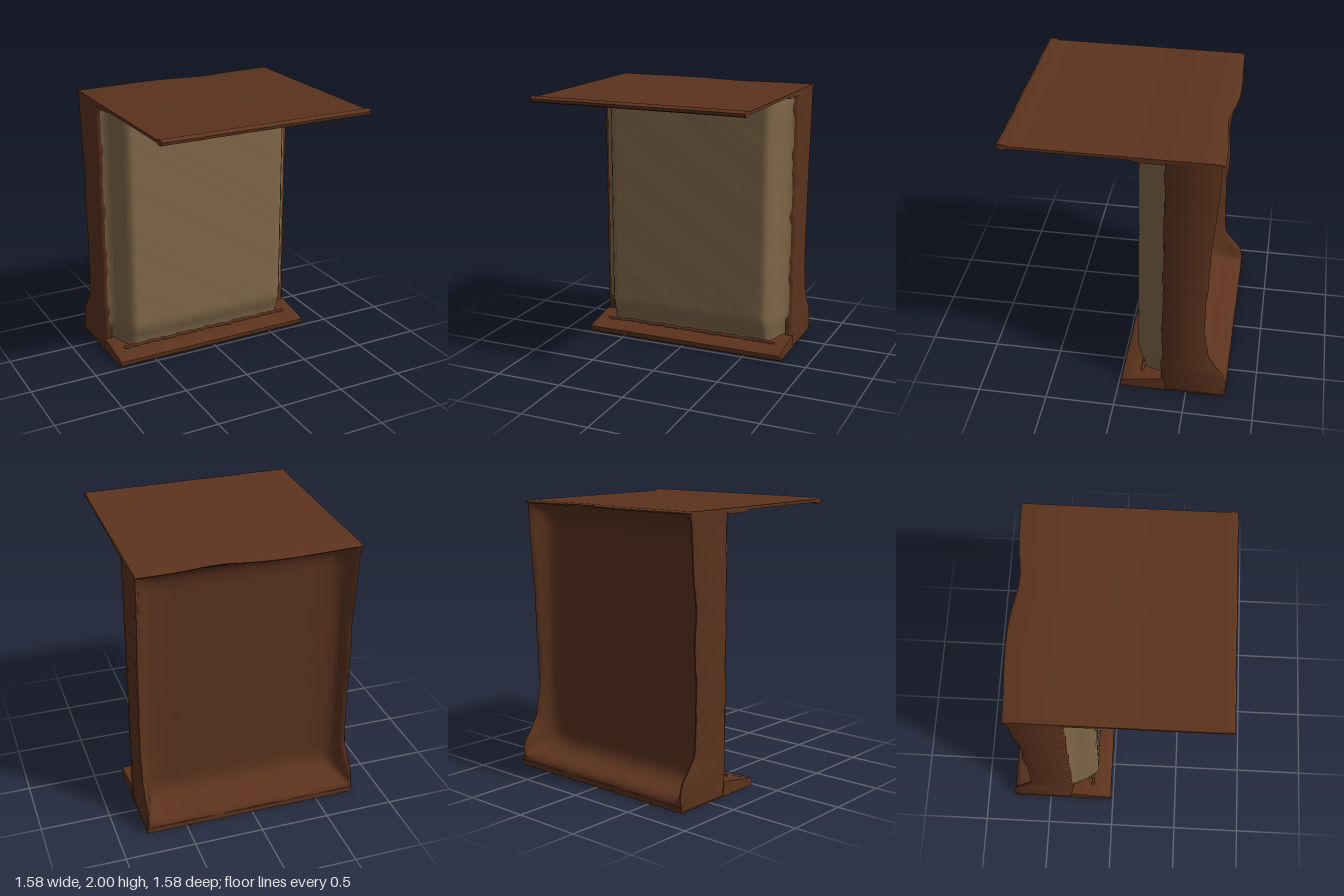
import * as THREE from 'three';
import { toCreasedNormals } from 'three/addons/utils/BufferGeometryUtils.js';

const rust = new THREE.MeshStandardMaterial({ color: 0x5c331e });
const cream = new THREE.MeshStandardMaterial({ color: 0x82694a });

// Smooth hand-worn unevenness
const wave = (t, seed) => Math.sin(t * 5 + seed) * 0.6 + Math.sin(t * 13 + seed * 2.3) * 0.4;

// Straight-line lookup in a list of [y, z] points
function lookUp(points, y) {
  const i = Math.max(1, points.findIndex((p) => p[0] >= y));
  const [y0, z0] = points[i - 1], [y1, z1] = points[i];
  return THREE.MathUtils.mapLinear(y, y0, y1, z0, z1);
}

function move(geometry, rule) {
  const p = geometry.attributes.position;
  const v = new THREE.Vector3();
  for (let i = 0; i < p.count; i++) {
    v.fromBufferAttribute(p, i);
    rule(v);
    p.setXYZ(i, v.x, v.y, v.z);
  }
  return geometry;
}

// Side profile of [z, y] points swept along x from -halfWidth to halfWidth
function sweep(points, halfWidth, steps, rule) {
  const shape = new THREE.Shape(points.map(([z, y]) => new THREE.Vector2(z, y)));
  const geometry = new THREE.ExtrudeGeometry(shape, { depth: halfWidth * 2, steps, bevelEnabled: false });
  geometry.translate(0, 0, -halfWidth).rotateY(-Math.PI / 2);
  return toCreasedNormals(move(geometry, rule), 0.7);
}

function add(group, name, geometry, material) {
  const mesh = new THREE.Mesh(geometry, material);
  mesh.name = name;
  group.add(mesh);
}

// Back edge of the side walls, flaring out at the foot
const rimLine = [
  [0, -0.785], [0.1, -0.788], [0.16, -0.78], [0.2, -0.76], [0.25, -0.72], [0.32, -0.665], [0.36, -0.645],
  [0.45, -0.635], [0.6, -0.618], [0.85, -0.618], [0.95, -0.637], [1.1, -0.64], [1.3, -0.632],
  [1.5, -0.655], [1.7, -0.663], [1.9, -0.678], [1.98, -0.69],
];
// Recessed back sheet, running out to the top edge and over the foot ledge
const floorLine = [
  [0, -0.785], [0.05, -0.785], [0.075, -0.77], [0.09, -0.74], [0.105, -0.65], [0.13, -0.58],
  [0.17, -0.545], [0.24, -0.53], [1.8, -0.53], [1.87, -0.545], [1.92, -0.58], [1.95, -0.64], [1.98, -0.685],
];

// Side walls and dished back as one skin of stacked cross-sections
function shellGeometry() {
  const heights = [0, 0.03, 0.05, 0.075, 0.09, 0.105, 0.13, 0.17, 0.2];
  for (let y = 0.24; y < 1.81; y += 0.03) heights.push(y);
  heights.push(1.84, 1.87, 1.9, 1.92, 1.95, 1.978);

  const section = (y) => {
    const floor = lookUp(floorLine, y);
    const half = (side) => {
      const rim = lookUp(rimLine, y) + (y > 0.3 ? 0.01 * wave(y, side + 2) : 0);
      const front = -0.315 + 0.008 * wave(y * 3, side + 4);
      const blend = (t) => floor + t * (rim - floor);
      return [
        [0.735, front], [0.77, front], [0.785, front - 0.015], [0.785, rim + 0.012], [0.778, rim],
        [0.765, blend(0.97)], [0.748, blend(0.75)], [0.725, blend(0.35)], [0.69, blend(0.1)], [0.64, floor],
      ].map(([x, z]) => [side * x, y, z]);
    };
    const middle = [];
    for (let x = 0.5; x > -0.55; x -= 0.125) middle.push([x, y, floor + 0.004 * wave(x * 2 + y, 2)]);
    return [...half(1), ...middle, ...half(-1).reverse()];
  };

  const rows = heights.map(section);
  const n = rows[0].length;
  const index = [];
  for (let j = 0; j < rows.length - 1; j++) {
    for (let i = 0; i < n - 1; i++) {
      const a = j * n + i;
      index.push(a, a + 1, a + n, a + 1, a + n + 1, a + n);
    }
  }
  const geometry = new THREE.BufferGeometry();
  geometry.setAttribute('position', new THREE.Float32BufferAttribute(rows.flat(2), 3));
  geometry.setIndex(index);
  return toCreasedNormals(geometry, 0.9);
}

export function createModel() {
  const model = new THREE.Group();
  model.name = 'canopyPanel';

  // Thin canopy with a beaded front lip and an uneven back edge
  const canopy = [
    [0.775, 1.995], [0.785, 1.985], [0.78, 1.965], [0.75, 1.955], [0.7, 1.967],
    [-0.08, 1.965], [-0.13, 1.95], [-0.3, 1.947], [-0.34, 1.965], [-0.66, 1.965],
    [-0.69, 1.965], [-0.7, 1.975], [-0.67, 1.985], [-0.3, 1.985], [0.7, 1.988], [0.75, 2],
  ];
  add(model, 'canopy', sweep(canopy, 0.785, 50, (v) => {
    if (v.z < -0.6) v.z += 0.035 * Math.exp(-(((v.x - 0.22) / 0.2) ** 2)) - 0.022 * Math.exp(-(((v.x + 0.25) / 0.35) ** 2));
    if (v.z > 0.7) v.z += 0.003 * wave(v.x * 2, 1);
  }), rust);

  // Base plate: front lip rising to the panel, hollow behind it
  const base = [
    [-0.03, 0.004], [-0.018, 0.02], [-0.018, 0.045], [-0.04, 0.06], [-0.12, 0.07],
    [-0.18, 0.082], [-0.3, 0.1], [-0.335, 0.1], [-0.35, 0.008], [-0.765, 0.008],
    [-0.775, 0.05], [-0.788, 0.04], [-0.788, 0.01], [-0.77, 0], [-0.1, 0],
  ];
  add(model, 'base', sweep(base, 0.79, 40, (v) => {
    if (v.y > 0.055) v.y += 0.004 * wave(v.x * 3, 2);
  }), rust);

  add(model, 'wallsAndBack', shellGeometry(), rust);

  // Cushion-like front panel falling away to the side walls
  const panel = new THREE.PlaneGeometry(1.52, 1.89, 60, 60);
  move(panel, (v) => {
    const fall = (distance, width) => 0.5 + 0.5 * Math.cos(Math.PI * Math.min(1, distance / width));
    v.z = -0.12 - 0.195 * fall(0.76 - Math.abs(v.x), 0.15)
      - 0.05 * fall(v.y + 0.945, 0.2) - 0.012 * fall(0.945 - v.y, 0.06)
      + 0.0015 * wave(v.x * 2 + v.y * 3, 1);
    v.y += 1.015;
  });
  panel.computeVertexNormals();
  add(model, 'frontPanel', panel, cream);

  // Rough bead along the foot of the panel
  const path = [];
  for (let i = 0; i <= 40; i++) {
    path.push(new THREE.Vector3(-0.7 + 0.035 * i, 0.084 + 0.006 * wave(i * 0.9, 6), -0.165 + 0.008 * wave(i * 0.7, 5)));
  }
  add(model, 'footBead', new THREE.TubeGeometry(new THREE.CatmullRomCurve3(path), 90, 0.012, 6), rust);

  return model;
}
